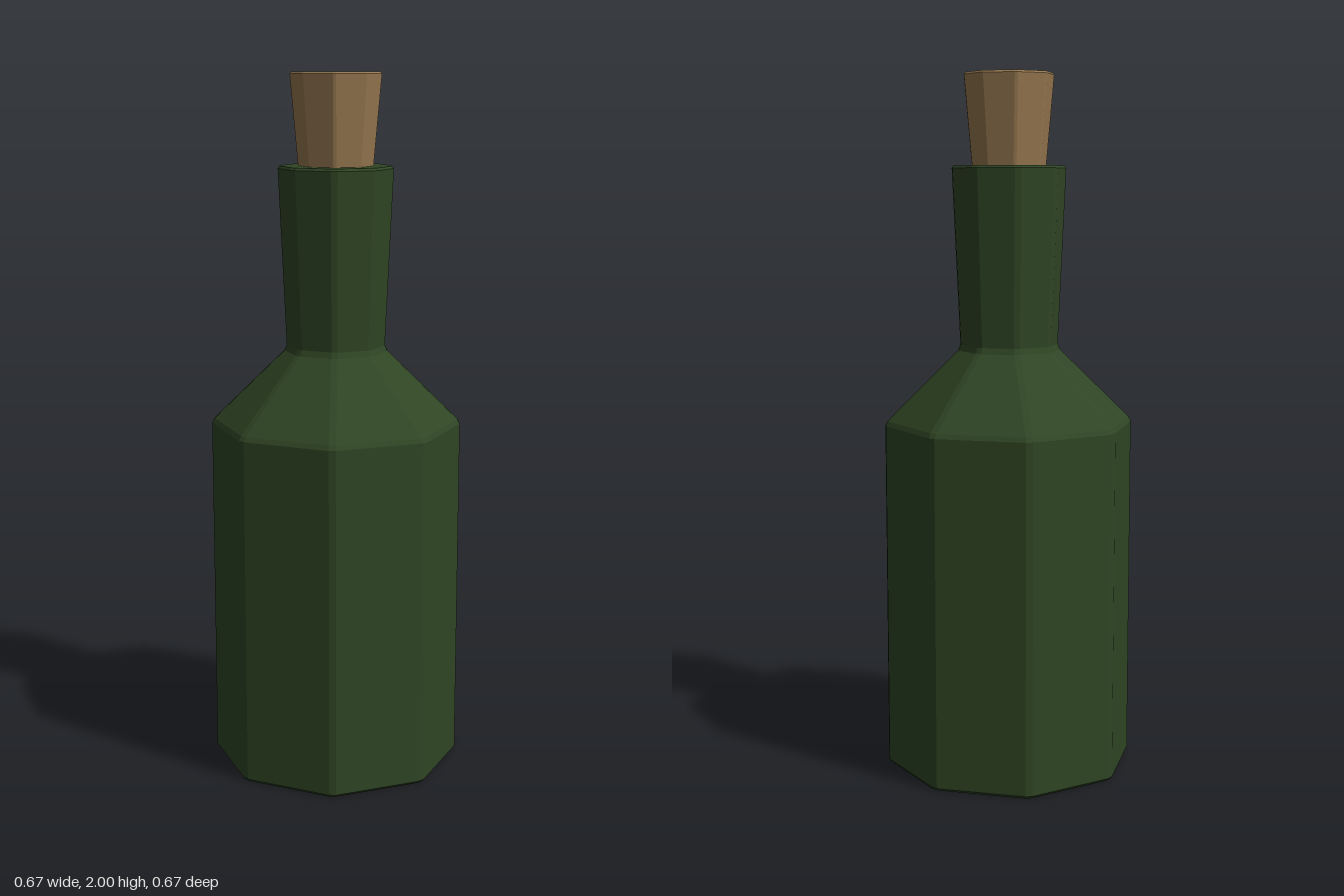
import * as THREE from 'three';

// Turned eight-sided solid with narrow bevels along its upright corners.
// Profile entries are [distance from axis to flat side, height].
function octagonalSolid(name, profile, color, bevel) {
  const points = profile.map(([r, y]) => new THREE.Vector2(r, y));
  const geometry = new THREE.LatheGeometry(points, 16);
  const pos = geometry.attributes.position;
  const half = Math.PI / 8;
  for (let i = 0; i < pos.count; i++) {
    const column = Math.floor(i / profile.length);
    const [apothem, y] = profile[i % profile.length];
    const delta = apothem > 0 ? Math.min(bevel / apothem, 0.06) : 0;
    const angle = half + Math.floor(column / 2) * 2 * half + (column % 2 ? delta : -delta);
    const radius = apothem / Math.cos(half - delta);
    pos.setXYZ(i, radius * Math.sin(angle), y, radius * Math.cos(angle));
  }
  geometry.computeVertexNormals();
  const material = new THREE.MeshStandardMaterial({ color, flatShading: true });
  const mesh = new THREE.Mesh(geometry, material);
  mesh.name = name;
  return mesh;
}

export function createModel() {
  const model = new THREE.Group();
  model.name = 'corkedBottle';

  // Glass: base, straight body, sloped shoulder, flared neck and flat rim
  model.add(octagonalSolid('bottle', [
    [0, 0], [0.328, 0], [0.335, 0.008],
    [0.335, 1.005], [0.328, 1.018],
    [0.139, 1.218], [0.133, 1.235],
    [0.154, 1.735], [0.149, 1.742], [0, 1.742],
  ], 0x2f4524, 0.009));

  // Stopper, widening upwards and pushed slightly into the neck
  model.add(octagonalSolid('cork', [
    [0, 1.7], [0.096, 1.7], [0.12, 1.994], [0.115, 2], [0, 2],
  ], 0x94764f, 0.004));

  return model;
}
